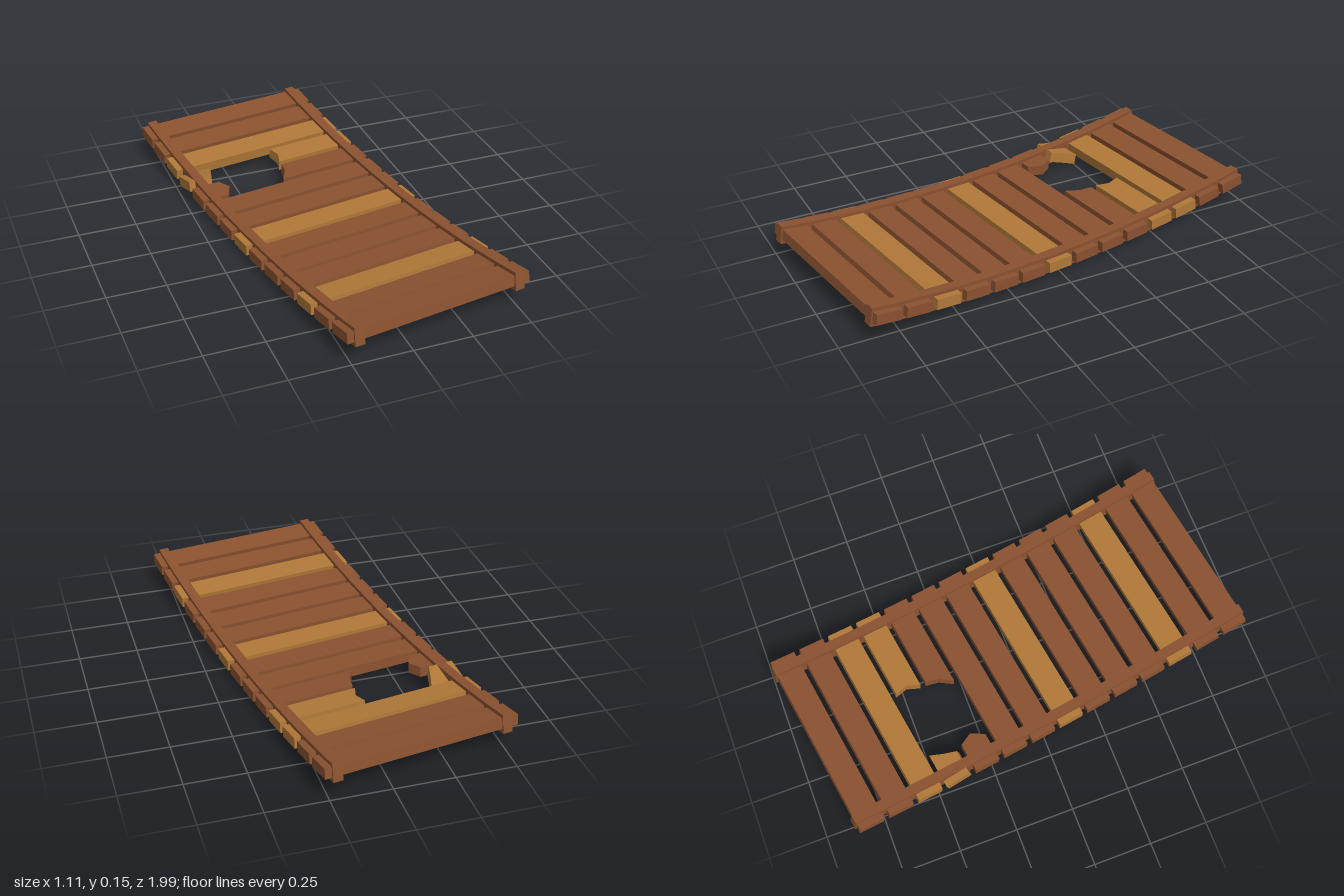
import * as THREE from 'three';

const R = 6.0;             // radius of the sagging deck
const HALF_WIDTH = 0.415;  // half of the plank length
const PLANK_W = 0.111, PLANK_T = 0.046, PLANK_Y = 0.019;
const COUNT = 14, PITCH = 0.137;

// Flat plank piece from an outline of [x, z] points, extruded upward
function plankGeometry(points) {
  const shape = new THREE.Shape(points.map(([x, z]) => new THREE.Vector2(x, -z)));
  const geo = new THREE.ExtrudeGeometry(shape, { depth: PLANK_T, bevelEnabled: false });
  return geo.rotateX(-Math.PI / 2).translate(0, PLANK_Y, 0);
}

// Long beam bent along the arc of the deck
function railGeometry() {
  const geo = new THREE.BoxGeometry(0.042, 0.08, 1.906, 1, 1, 28).translate(0, 0.04, 0);
  const p = geo.attributes.position;
  for (let i = 0; i < p.count; i++) {
    const a = p.getZ(i) / R, r = R - p.getY(i);
    p.setY(i, R - r * Math.cos(a));
    p.setZ(i, r * Math.sin(a));
  }
  geo.computeVertexNormals();
  return geo;
}

export function createModel() {
  const model = new THREE.Group();
  model.name = 'plankBridge';
  const brown = new THREE.MeshStandardMaterial({ color: 0x8b5230, flatShading: true });
  brown.name = 'brownWood';
  const gold = new THREE.MeshStandardMaterial({ color: 0xb07838, flatShading: true });
  gold.name = 'goldenWood';

  const h = PLANK_W / 2, W = HALF_WIDTH;
  const whole = [[-W, -h], [W, -h], [W, h], [-W, h]];
  // Snapped planks: a stub on each side of the hole
  const broken = {
    3: [
      [[-W, -h], [-0.26, -h], [-0.285, 0], [-0.306, h], [-W, h]],
      [[0.043, -h], [W, -h], [W, h], [0.032, h], [0.056, 0]],
    ],
    4: [
      [[-W, -h], [-0.287, -h], [-0.26, 0], [-0.294, h], [-W, h]],
      [[0.031, -h], [W, -h], [W, h], [-0.02, h], [0.018, 0]],
    ],
  };
  const goldPlanks = [2, 3, 7, 11];

  // Planks, from back to front, tilted to follow the sag
  for (let i = 0; i < COUNT; i++) {
    const a = (i - (COUNT - 1) / 2) * PITCH / R;
    const plank = new THREE.Group();
    plank.name = broken[i] ? 'brokenPlank' : 'plank';
    plank.position.set(0, R - R * Math.cos(a), R * Math.sin(a));
    plank.rotation.x = -a;
    for (const outline of broken[i] || [whole]) {
      const mesh = new THREE.Mesh(plankGeometry(outline), goldPlanks.includes(i) ? gold : brown);
      mesh.name = broken[i] ? 'plankStub' : 'plankBoard';
      plank.add(mesh);
    }
    model.add(plank);
  }
  // The loosened stub is twisted upward at its front edge
  const loose = model.children[3].children[0];
  loose.geometry.translate(0, -0.042, 0);
  loose.position.y = 0.042;
  loose.rotation.x = -0.3;

  // Side rails
  for (const s of [-1, 1]) {
    const rail = new THREE.Mesh(railGeometry(), brown);
    rail.name = s > 0 ? 'leftRail' : 'rightRail';
    rail.position.x = s * 0.365;
    model.add(rail);
  }

  // The whole bridge lies slightly askew
  model.rotation.y = 0.155;
  const root = new THREE.Group();
  root.name = 'bridge';
  root.add(model);
  return root;
}
